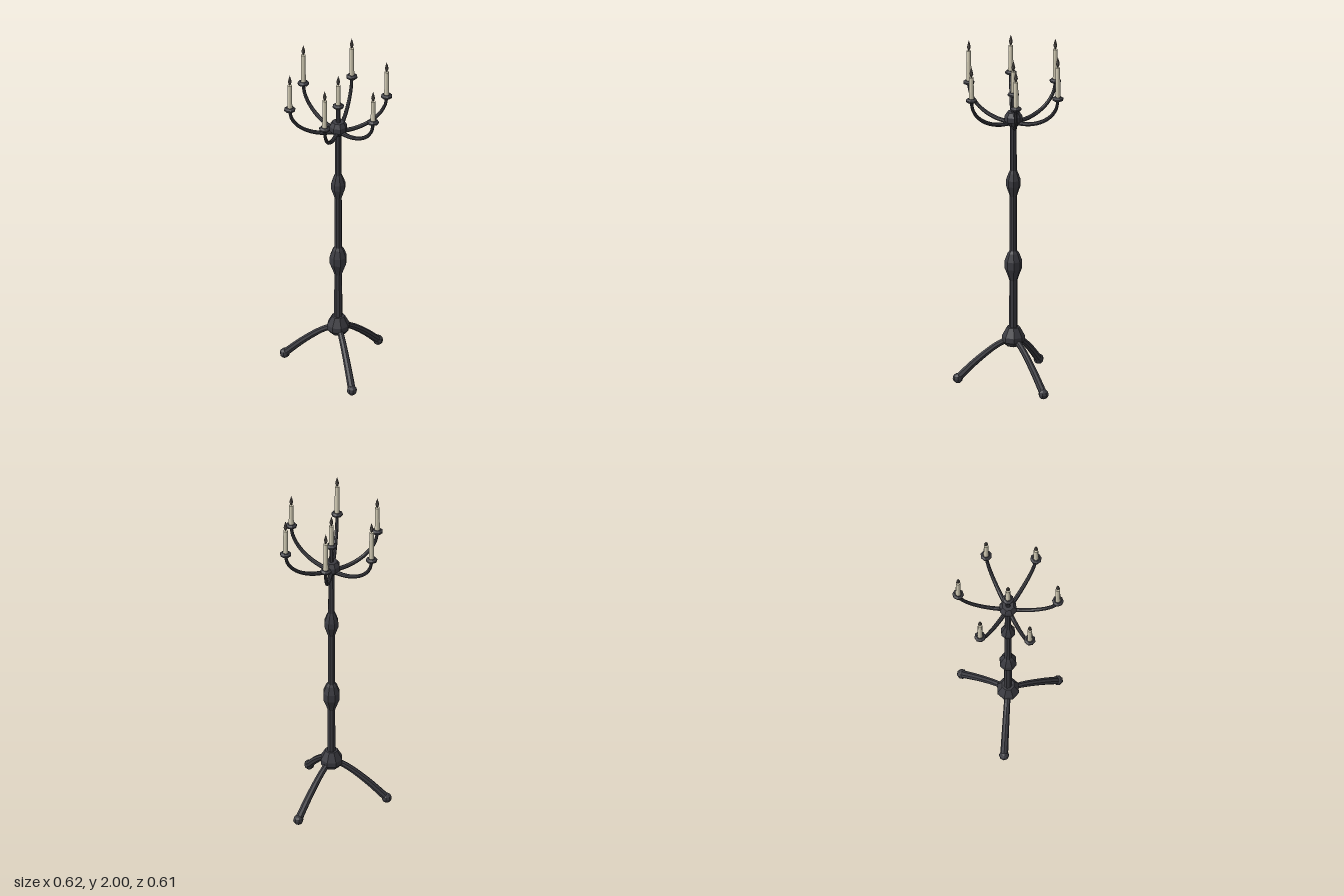
import * as THREE from 'three';

const iron = new THREE.MeshStandardMaterial({ color: 0x3b3b41, flatShading: true });
iron.name = 'dark iron';
const wax = new THREE.MeshStandardMaterial({ color: 0xd6cfb8, flatShading: true });
wax.name = 'cream wax';
const flameGrey = new THREE.MeshStandardMaterial({ color: 0x66605c, flatShading: true });
flameGrey.name = 'flame grey';

function add(parent, name, geometry, material) {
  const mesh = new THREE.Mesh(geometry, material);
  mesh.name = name;
  parent.add(mesh);
  return mesh;
}

// Turned part from [radius, height] pairs, bottom to top
function turned(profile, sides = 8) {
  return new THREE.LatheGeometry(profile.map(([r, y]) => new THREE.Vector2(r, y)), sides);
}

// Tube in the XY plane whose radius runs from r0 to r1
function taperedTube(points, r0, r1, steps = 14, sides = 8) {
  const curve = new THREE.CatmullRomCurve3(points.map(([x, y]) => new THREE.Vector3(x, y, 0)));
  const geometry = new THREE.TubeGeometry(curve, steps, 1, sides, false);
  const pos = geometry.attributes.position;
  const v = new THREE.Vector3();
  for (let i = 0; i < pos.count; i++) {
    const t = Math.floor(i / (sides + 1)) / steps;
    const centre = curve.getPointAt(t);
    v.fromBufferAttribute(pos, i).sub(centre).multiplyScalar(r0 + (r1 - r0) * t).add(centre);
    pos.setXYZ(i, v.x, v.y, v.z);
  }
  geometry.computeVertexNormals();
  return geometry;
}

// Drip pan, candle and flame standing on a given height
function candleHolder(height) {
  const group = new THREE.Group();
  group.name = 'candleHolder';
  add(group, 'dripPan', turned([[0, -0.004], [0.014, -0.004], [0.032, 0.006], [0.032, 0.015], [0.02, 0.024], [0, 0.024]]), iron);
  const candle = add(group, 'candle', new THREE.CylinderGeometry(0.0125, 0.0145, height, 12), wax);
  candle.position.y = 0.022 + height / 2;
  const flame = add(group, 'flame', turned([[0, 0], [0.004, 0.006], [0.011, 0.024], [0.007, 0.042], [0, 0.066]]), flameGrey);
  flame.position.y = 0.02 + height;
  return group;
}

export function createModel() {
  const model = new THREE.Group();
  model.name = 'standingCandelabra';
  const stand = new THREE.Group();
  stand.name = 'stand';
  stand.position.z = -0.035;
  model.add(stand);

  // Column, collar, two knops and hub
  add(stand, 'column', new THREE.CylinderGeometry(0.018, 0.024, 1.3, 8), iron).position.y = 0.93;
  add(stand, 'baseCollar', turned([[0, 0.225], [0.045, 0.225], [0.064, 0.25], [0.064, 0.28], [0.036, 0.332], [0, 0.332]]), iron);
  add(stand, 'lowerKnop', turned([[0.022, 0.61], [0.032, 0.64], [0.049, 0.685], [0.049, 0.73], [0.032, 0.775], [0.021, 0.79]]), iron);
  add(stand, 'upperKnop', turned([[0.02, 1.115], [0.028, 1.14], [0.041, 1.18], [0.041, 1.215], [0.027, 1.255], [0.018, 1.275]]), iron);
  add(stand, 'hub', turned([[0, 1.54], [0.028, 1.54], [0.05, 1.568], [0.05, 1.598], [0.034, 1.622], [0, 1.622]]), iron);

  // Three curved legs with ball feet
  for (const degrees of [30, 150, 270]) {
    const leg = new THREE.Group();
    leg.name = 'leg';
    leg.rotation.y = THREE.MathUtils.degToRad(degrees);
    add(leg, 'legBar', taperedTube([[0.02, 0.262], [0.09, 0.226], [0.2, 0.138], [0.305, 0.035]], 0.017, 0.022), iron);
    add(leg, 'foot', new THREE.SphereGeometry(0.029, 8, 6), iron).position.set(0.31, 0.029, 0);
    stand.add(leg);
  }

  // Six curved arms, each carrying a candle
  const armPath = [];
  for (let i = 0; i <= 6; i++) {
    const a = (i / 6) * Math.PI / 2;
    armPath.push([0.03 + 0.249 * Math.sin(a), 1.74 - 0.183 * Math.cos(a)]);
  }
  [0.15, 0.177, 0.177, 0.15, 0.177, 0.127].forEach((height, i) => {
    const arm = new THREE.Group();
    arm.name = 'arm';
    arm.rotation.y = i * Math.PI / 3;
    add(arm, 'armBar', taperedTube(armPath, 0.013, 0.009), iron);
    const holder = candleHolder(height);
    holder.position.set(0.279, 1.737, 0);
    arm.add(holder);
    stand.add(arm);
  });

  // Central candle on its own stem
  add(stand, 'centreStem', new THREE.CylinderGeometry(0.011, 0.014, 0.12, 8), iron).position.y = 1.67;
  const centre = candleHolder(0.127);
  centre.position.y = 1.714;
  stand.add(centre);

  return model;
}
